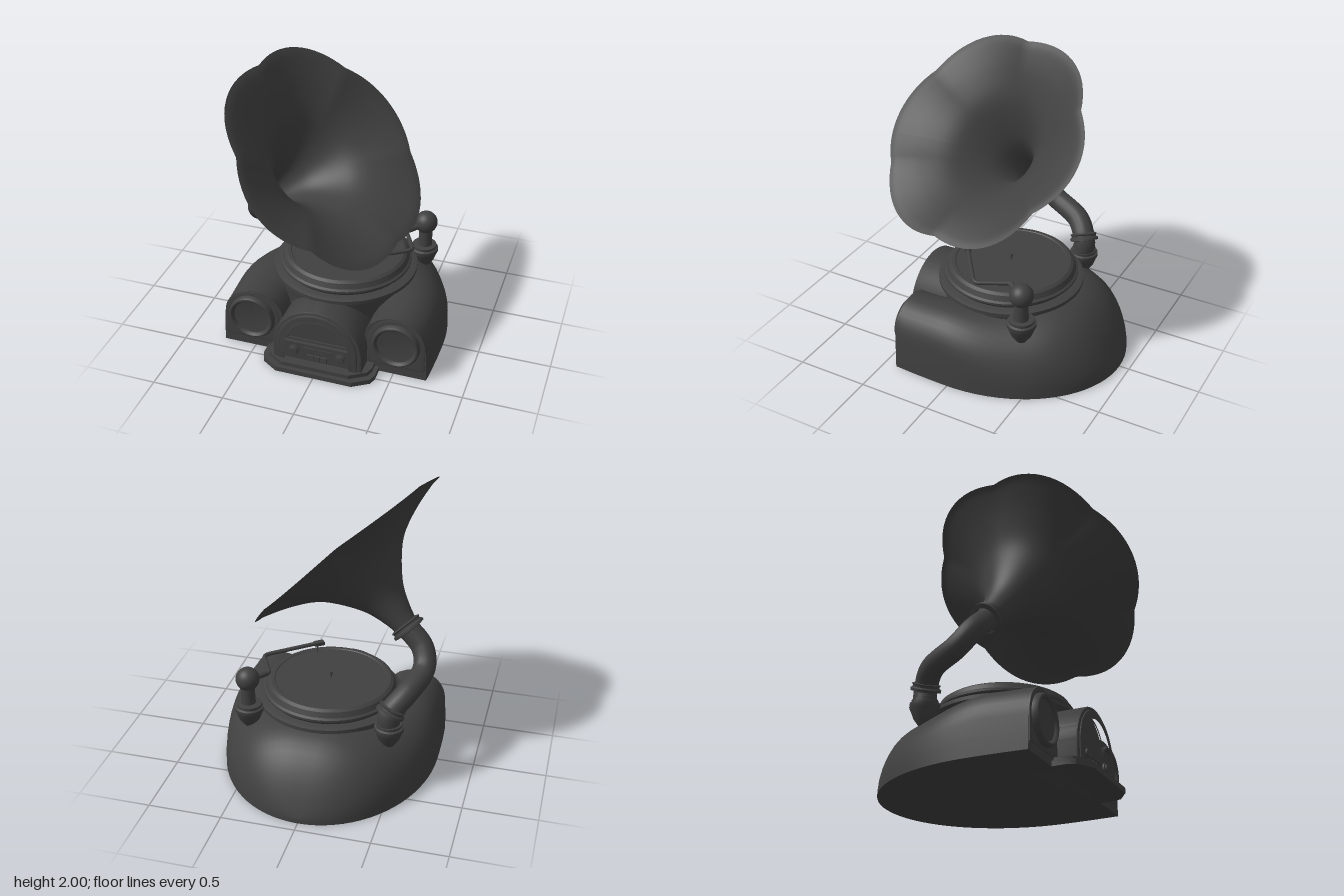
import * as THREE from 'three';
import { toCreasedNormals } from 'three/addons/utils/BufferGeometryUtils.js';

const V = (x, y, z) => new THREE.Vector3(x, y, z);
const UP = V(0, 1, 0);

export function createModel() {
  const group = new THREE.Group();
  const mat = new THREE.MeshStandardMaterial({ color: 0x404040 });
  const thin = new THREE.MeshStandardMaterial({ color: 0x404040, side: THREE.DoubleSide });

  const add = (name, geo, x = 0, y = 0, z = 0, material = mat) => {
    const mesh = new THREE.Mesh(geo, material);
    mesh.name = name;
    mesh.position.set(x, y, z);
    group.add(mesh);
    return mesh;
  };
  const lathe = (pts, seg = 40, crease = 0.5) =>
    toCreasedNormals(new THREE.LatheGeometry(pts.map(p => new THREE.Vector2(...p)), seg), crease);
  const extrude = (shape, depth, bevel = 0) => toCreasedNormals(new THREE.ExtrudeGeometry(shape, {
    depth, curveSegments: 28, bevelEnabled: bevel > 0, bevelSize: bevel, bevelThickness: bevel, bevelSegments: 2,
    bevelOffset: -bevel }), 0.5);
  const tube = (pts, r, seg, tension = 0.5) => new THREE.TubeGeometry(
    new THREE.CatmullRomCurve3(pts.map(p => V(...p)), false, 'catmullrom', tension), seg, r, 16);
  const trace = (path, r, cy, y0) => {
    path.moveTo(-r, y0);
    path.lineTo(-r, cy);
    path.absarc(0, cy, r, Math.PI, 0, true);
    path.lineTo(r, y0);
    path.closePath();
    return path;
  };
  const arch = (r, cy, y0, hole, holeY0) => {
    const s = trace(new THREE.Shape(), r, cy, y0);
    if (hole) s.holes.push(trace(new THREE.Path(), hole, cy, holeY0));
    return s;
  };

  // Cabinet: twin-lobed sections at the front turning into a dome at the back
  const { smoothstep, lerp } = THREE.MathUtils;
  const smooth = (a, b, t) => smoothstep(t, a, b);
  const section = z => {
    const w = z > 0 ? 0.745 - 0.09 * z * z : 0.745 * Math.sqrt(Math.max(0, 1 - (z / 0.93) ** 2));
    const h = z > -0.4 ? 0.487 - 0.03 * smooth(-0.4, 0.41, z) : 0.03 + 0.457 * (1 - ((-z - 0.4) / 0.53) ** 3);
    const dip = smooth(-0.2, 0.3, z), dome = 1 - smooth(-0.55, 0.15, z);
    const half = [[1, 0], [0.995, 0.25], [0.985, 0.5]];
    for (let i = 1; i <= 8; i++) {
      const a = i / 8 * Math.PI / 2;
      half.push([0.69 + 0.295 * Math.cos(a), 0.5 + 0.5 * Math.sin(a)]);
    }
    for (let i = 1; i <= 5; i++) {
      const a = i / 5 * Math.PI / 2;
      half.push([0.69 - 0.29 * Math.sin(a), 1 - dip * 0.4 * (1 - Math.cos(a))]);
    }
    half.push([0.2, 1 - dip * 0.4]);
    const round = half.map(([x, y], k) => {
      const a = k / half.length * Math.PI / 2;
      return [lerp(x, Math.cos(a) ** 0.85, dome), lerp(y, Math.sin(a) ** 0.85, dome)];
    });
    const full = [...round, ...round.slice().reverse().map(([x, y]) => [-x, y])];
    return full.map(([x, y]) => [x * w, y * h]);
  };
  const zs = [];
  for (let i = 0; i <= 8; i++) zs.push(0.41 - 0.41 * i / 8);
  for (let i = 1; i <= 20; i++) zs.push(-0.93 * Math.sin(i / 20 * Math.PI / 2));
  const pos = [], idx = [];
  const n = section(0).length;
  zs.forEach((z, i) => {
    section(z).forEach(([x, y]) => pos.push(x, y, z));
    if (i === zs.length - 1) return;
    for (let j = 0; j < n; j++) {
      const a = i * n + j, b = i * n + (j + 1) % n;
      idx.push(a, a + n, b, b, a + n, b + n);
    }
  });
  const shell = new THREE.BufferGeometry();
  shell.setAttribute('position', new THREE.Float32BufferAttribute(pos, 3));
  shell.setIndex(idx);
  add('cabinetShell', toCreasedNormals(shell, 0.6));
  const face = new THREE.Shape(section(0.41).map(p => new THREE.Vector2(...p)));
  add('cabinetFront', new THREE.ShapeGeometry(face), 0, 0, 0.41);

  // Central arched bay with stepped frame and recessed window
  add('archBay', extrude(arch(0.305, 0.18, 0, 0), 0.5), 0, 0, -0.02);
  add('archOuterFrame', extrude(arch(0.315, 0.17, 0, 0.275, 0.03), 0.3, 0.012), 0, 0, 0.235);
  add('archInnerFrame', extrude(arch(0.285, 0.18, 0, 0.238, 0.05), 0.12, 0.012), 0, 0, 0.425);
  add('archWindowRim', extrude(arch(0.238, 0.205, 0.2, 0.222, 0.216), 0.04), 0, 0, 0.47);
  add('controlPanel', new THREE.BoxGeometry(0.47, 0.14, 0.07), 0, 0.13, 0.5);
  for (const s of [-1, 1]) {
    const knob = add('knob', lathe([[0.038, 0], [0.038, 0.012], [0.028, 0.014], [0.026, 0.025], [0, 0.027]], 24),
      s * 0.165, 0.14, 0.533);
    knob.rotation.x = Math.PI / 2;
    for (let i = 0; i < 3; i++)
      add('button', new THREE.BoxGeometry(0.043, 0.02, 0.02), (i - 1) * 0.048, 0.1 + s * 0.011, 0.54);
  }
  add('dial', new THREE.BoxGeometry(0.2, 0.035, 0.012), 0, 0.158, 0.536);

  // Foot ledge in two steps, cut back at the corners
  const ledge = inset => new THREE.Shape([[-0.4, -0.4], [-0.4, -0.51], [-0.38, -0.56], [-0.27, -0.63],
    [0.27, -0.63], [0.38, -0.56], [0.4, -0.51], [0.4, -0.4]]
    .map(([x, y]) => new THREE.Vector2(x - Math.sign(x) * inset, y + inset)).reverse());
  const foot = add('footLedge', extrude(ledge(0), 0.035));
  const step = add('footStep', extrude(ledge(0.03), 0.03), 0, 0.035, 0);
  foot.rotation.x = step.rotation.x = -Math.PI / 2;

  // Side speakers
  for (const s of [-1, 1]) {
    const x = s * 0.515;
    add('speakerFrame', extrude(arch(0.2, 0.25, 0.06, 0.182, 0.075), 0.008, 0.003), x, 0, 0.404);
    const ring = add('speakerRing', lathe([[0.166, 0], [0.164, 0.025], [0.156, 0.038], [0.146, 0.04], [0.136, 0.032],
      [0.13, 0.018], [0.122, 0.016], [0, 0.02]], 48), x, 0.25, 0.41);
    ring.rotation.x = Math.PI / 2;
  }

  // Turntable drum, platter and spindle
  add('turntableDrum', lathe([[0.44, 0.25], [0.47, 0.46], [0.5, 0.48], [0.5, 0.505], [0.47, 0.515], [0, 0.515]], 56),
    0, 0, -0.09);
  add('platter', lathe([[0.43, 0.505], [0.445, 0.53], [0.46, 0.54], [0.46, 0.555], [0.445, 0.565], [0.43, 0.6],
    [0.41, 0.614], [0.385, 0.615], [0.38, 0.61], [0, 0.612]], 56), 0, 0, -0.09);
  add('spindle', lathe([[0.005, 0.6], [0.005, 0.63], [0.009, 0.633], [0.009, 0.652], [0, 0.655]], 12), 0, 0, -0.09);

  // Teardrop sockets on both sides
  for (const s of [-1, 1])
    add('socket', lathe([[0, 0.345], [0.035, 0.36], [0.07, 0.41], [0.088, 0.46], [0.098, 0.48], [0.098, 0.505],
      [0.085, 0.512], [0.085, 0.53], [0.05, 0.535], [0, 0.535]], 32), s * 0.48, 0, -0.42);

  // Tonearm
  add('tonearmPost', new THREE.CylinderGeometry(0.045, 0.05, 0.17, 24), 0.485, 0.6, -0.42);
  add('tonearmBall', new THREE.SphereGeometry(0.08, 32, 20), 0.485, 0.715, -0.42);
  add('tonearm', tube([[0.46, 0.705, -0.39], [0.38, 0.7, -0.285], [0.4, 0.7, -0.24], [0.475, 0.7, -0.09],
    [0.45, 0.702, -0.045], [0.15, 0.715, 0.17]], 0.014, 60, 0.15));
  const bush = add('tonearmBush', new THREE.CylinderGeometry(0.02, 0.02, 0.1, 16), 0.42, 0.702, -0.335);
  bush.quaternion.setFromUnitVectors(UP, V(-0.08, 0, 0.105).normalize());
  const head = add('pickupHead', new THREE.BoxGeometry(0.07, 0.025, 0.04), 0.155, 0.713, 0.165);
  head.rotation.y = 0.62;
  add('needle', new THREE.CylinderGeometry(0.007, 0.003, 0.07, 8), 0.165, 0.675, 0.16);

  // Curved neck with collars
  const throat = V(-0.495, 1.01, 0.02), axis = V(0.455, 0.455, 0.135).normalize();
  add('neck', tube([[-0.475, 0.5, -0.42], [-0.485, 0.61, -0.415], [-0.57, 0.71, -0.32], [-0.64, 0.78, -0.12],
    [-0.61, 0.895, -0.02], [-0.495, 1.01, 0.02]], 0.076, 60), 0, 0, 0, thin);
  const collar = (name, r, p, dir) => {
    const c = add(name, lathe([[r - 0.03, -0.03], [r, -0.025], [r, -0.008], [r - 0.012, 0], [r - 0.012, 0.012],
      [r - 0.004, 0.02], [r - 0.03, 0.03]], 36), p.x, p.y, p.z, thin);
    c.quaternion.setFromUnitVectors(UP, dir);
  };
  collar('neckCollar', 0.098, V(-0.49, 0.62, -0.41), V(-0.35, 0.85, 0.3).normalize());
  collar('hornCollar', 0.118, throat, axis);

  // Flared horn with six petals
  const profile = new THREE.SplineCurve([[0.076, -0.02], [0.102, 0.1], [0.16, 0.25], [0.275, 0.41], [0.385, 0.51],
    [0.55, 0.59], [0.72, 0.645], [0.79, 0.655]].map(p => new THREE.Vector2(...p))).getPoints(36);
  const hornGeo = new THREE.LatheGeometry(profile, 96);
  const hp = hornGeo.attributes.position;
  for (let i = 0; i < hp.count; i++) {
    const x = hp.getX(i), y = hp.getY(i), z = hp.getZ(i);
    const t = smooth(0.25, 0.79, Math.hypot(x, z));
    const notch = 1 - Math.abs(Math.cos(3 * (Math.atan2(x, z) + 0.2)));
    const k = 1 - 0.07 * t * notch;
    hp.setXYZ(i, x * k * (1 - 0.02 * t), y + 0.015 * t * (notch - 0.4), z * k);
  }
  hornGeo.computeVertexNormals();
  const horn = add('horn', hornGeo, throat.x, throat.y, throat.z, thin);
  horn.quaternion.setFromUnitVectors(UP, axis);

  return group;
}
